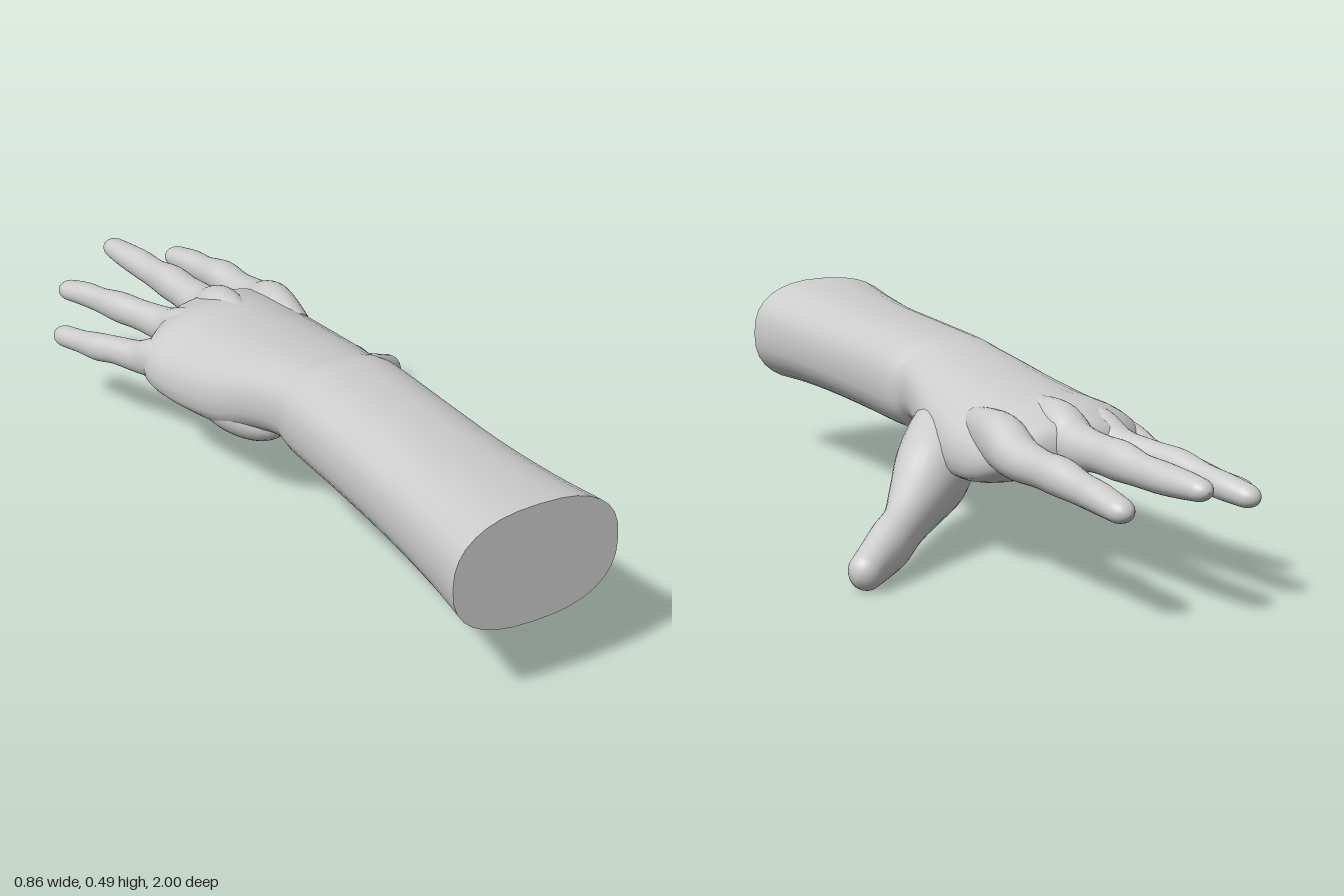
import * as THREE from 'three';

const SIDES = 32, STEPS = 6, DOME = 7;

// Smooth curve through control values b..c
const spline = (a, b, c, d, t) =>
  b + 0.5 * t * (c - a + t * (2 * a - 5 * b + 4 * c - d + t * (3 * (b - c) + d - a)));

// Control rings [x, y, z, halfWidth, halfHeight, arch] -> dense list of rings
function refine(rings) {
  const at = i => rings[Math.max(0, Math.min(rings.length - 1, i))];
  const out = [];
  for (let i = 0; i < rings.length - 1; i++) {
    for (let s = 0; s < STEPS; s++) {
      out.push(at(i).map((v, k) => spline(at(i - 1)[k], v, at(i + 1)[k], at(i + 2)[k], s / STEPS)));
    }
  }
  out.push([...at(rings.length - 1)]);
  return out;
}

// Skin over rounded cross-sections with a flat start and a domed end.
// straight keeps every ring upright and square to z.
function loft(controls, { power = 2.1, dome = 0.04, straight = false } = {}) {
  const rings = refine(controls);
  const centres = rings.map(r => new THREE.Vector3(r[0], r[1], r[2]));
  const sections = rings.map((r, i) => {
    const dir = straight
      ? new THREE.Vector3(0, 0, -1)
      : centres[Math.min(i + 1, rings.length - 1)].clone().sub(centres[Math.max(i - 1, 0)]).normalize();
    return { centre: centres[i], dir, rx: r[3], ry: r[4], arch: r[5] || 0 };
  });

  // Rounded tip
  const last = sections[sections.length - 1];
  for (let i = 1; i <= DOME; i++) {
    const a = (i / DOME) * Math.PI / 2, c = Math.max(Math.cos(a), 0.01);
    sections.push({
      ...last, rx: last.rx * c, ry: last.ry * c,
      centre: last.centre.clone().addScaledVector(last.dir, dome * Math.sin(a)),
    });
  }

  const pos = [], index = [];
  const soften = v => Math.sign(v) * Math.abs(v) ** (2 / power);
  const up = new THREE.Vector3(0, 1, 0);
  for (const { centre, dir, rx, ry, arch } of sections) {
    const side = new THREE.Vector3().crossVectors(dir, up).normalize();
    const top = new THREE.Vector3().crossVectors(side, dir);
    for (let k = 0; k < SIDES; k++) {
      const a = (k / SIDES) * Math.PI * 2;
      const w = rx * soften(Math.cos(a));
      const h = ry * soften(Math.sin(a)) - arch * w * w;
      pos.push(...centre.clone().addScaledVector(side, w).addScaledVector(top, h).toArray());
    }
  }
  for (let s = 0; s < sections.length - 1; s++) {
    for (let k = 0; k < SIDES; k++) {
      const n = (k + 1) % SIDES;
      const a = s * SIDES + k, b = s * SIDES + n;
      index.push(a, a + SIDES, b, b, a + SIDES, b + SIDES);
    }
  }

  // Flat cap with its own vertices, so its rim stays sharp
  const cap = pos.length / 3;
  pos.push(...pos.slice(0, SIDES * 3), ...sections[0].centre.toArray());
  for (let k = 0; k < SIDES; k++) index.push(cap + SIDES, cap + k, cap + (k + 1) % SIDES);

  const geo = new THREE.BufferGeometry();
  geo.setAttribute('position', new THREE.Float32BufferAttribute(pos, 3));
  geo.setIndex(index);
  geo.computeVertexNormals();
  return geo;
}

// Forearm, wrist and arched palm as one skin
const ARM = [
  [-0.09, 0.345, 1.0, 0.21, 0.145, 0],
  [-0.09, 0.343, 0.85, 0.19, 0.135, 0],
  [-0.088, 0.34, 0.65, 0.175, 0.127, 0],
  [-0.086, 0.339, 0.42, 0.168, 0.125, 0],
  [-0.085, 0.337, 0.2, 0.166, 0.122, 0],
  [-0.092, 0.341, 0.13, 0.158, 0.108, 0],
  [-0.095, 0.328, 0.03, 0.175, 0.108, 0.2],
  [-0.1, 0.302, -0.1, 0.205, 0.117, 0.5],
  [-0.108, 0.3, -0.25, 0.228, 0.104, 0.8],
  [-0.115, 0.305, -0.37, 0.228, 0.09, 0.8],
  [-0.085, 0.305, -0.46, 0.175, 0.064, 0.6],
];

// Digits from inside the palm out to the tip
const DIGITS = {
  thumb: [
    [-0.02, 0.29, 0.03, 0.07, 0.075],
    [0.04, 0.24, -0.06, 0.088, 0.11],
    [0.11, 0.195, -0.15, 0.09, 0.107],
    [0.18, 0.15, -0.22, 0.069, 0.082],
    [0.245, 0.113, -0.285, 0.05, 0.063],
    [0.3, 0.085, -0.33, 0.05, 0.063],
    [0.345, 0.066, -0.365, 0.045, 0.055],
    [0.39, 0.049, -0.4, 0.041, 0.045],
  ],
  indexFinger: [
    [0.035, 0.32, -0.25, 0.04, 0.05],
    [0.05, 0.32, -0.4, 0.055, 0.065],
    [0.055, 0.3, -0.5, 0.053, 0.052],
    [0.05, 0.295, -0.6, 0.044, 0.043],
    [0.046, 0.295, -0.68, 0.045, 0.044],
    [0.037, 0.285, -0.76, 0.036, 0.037],
    [0.032, 0.28, -0.83, 0.037, 0.034],
    [0.025, 0.27, -0.905, 0.033, 0.028],
  ],
  middleFinger: [
    [-0.095, 0.335, -0.25, 0.04, 0.055],
    [-0.092, 0.335, -0.41, 0.055, 0.068],
    [-0.092, 0.315, -0.5, 0.053, 0.055],
    [-0.1, 0.315, -0.6, 0.045, 0.045],
    [-0.106, 0.315, -0.68, 0.044, 0.046],
    [-0.113, 0.31, -0.76, 0.037, 0.038],
    [-0.12, 0.31, -0.84, 0.038, 0.036],
    [-0.13, 0.31, -0.915, 0.035, 0.031],
    [-0.135, 0.31, -0.96, 0.031, 0.026],
  ],
  ringFinger: [
    [-0.185, 0.31, -0.25, 0.04, 0.055],
    [-0.2, 0.315, -0.39, 0.05, 0.062],
    [-0.212, 0.295, -0.49, 0.046, 0.047],
    [-0.24, 0.29, -0.59, 0.037, 0.04],
    [-0.262, 0.285, -0.67, 0.038, 0.04],
    [-0.278, 0.275, -0.75, 0.031, 0.033],
    [-0.292, 0.268, -0.82, 0.033, 0.031],
    [-0.308, 0.26, -0.875, 0.031, 0.027],
  ],
  littleFinger: [
    [-0.265, 0.28, -0.23, 0.04, 0.05],
    [-0.295, 0.275, -0.36, 0.046, 0.055],
    [-0.318, 0.255, -0.44, 0.038, 0.042],
    [-0.345, 0.245, -0.52, 0.034, 0.036],
    [-0.368, 0.235, -0.58, 0.034, 0.036],
    [-0.387, 0.228, -0.64, 0.028, 0.03],
    [-0.405, 0.222, -0.7, 0.028, 0.028],
  ],
};

export function createModel() {
  const model = new THREE.Group();
  model.name = 'handAndForearm';
  const skin = new THREE.MeshStandardMaterial({ color: 0xcccccc });
  skin.name = 'lightGreySkin';

  const add = (name, geometry) => {
    const mesh = new THREE.Mesh(geometry, skin);
    mesh.name = name;
    model.add(mesh);
    return mesh;
  };

  add('forearmAndPalm', loft(ARM, { power: 2.45, dome: 0.045, straight: true }));
  for (const [name, rings] of Object.entries(DIGITS)) add(name, loft(rings));

  // Fleshy pad under the outer edge of the palm
  const pad = add('palmHeel', new THREE.SphereGeometry(1, 32, 20));
  pad.scale.set(0.085, 0.075, 0.18);
  pad.position.set(-0.205, 0.245, -0.12);
  pad.rotation.y = 0.12;

  return model;
}
